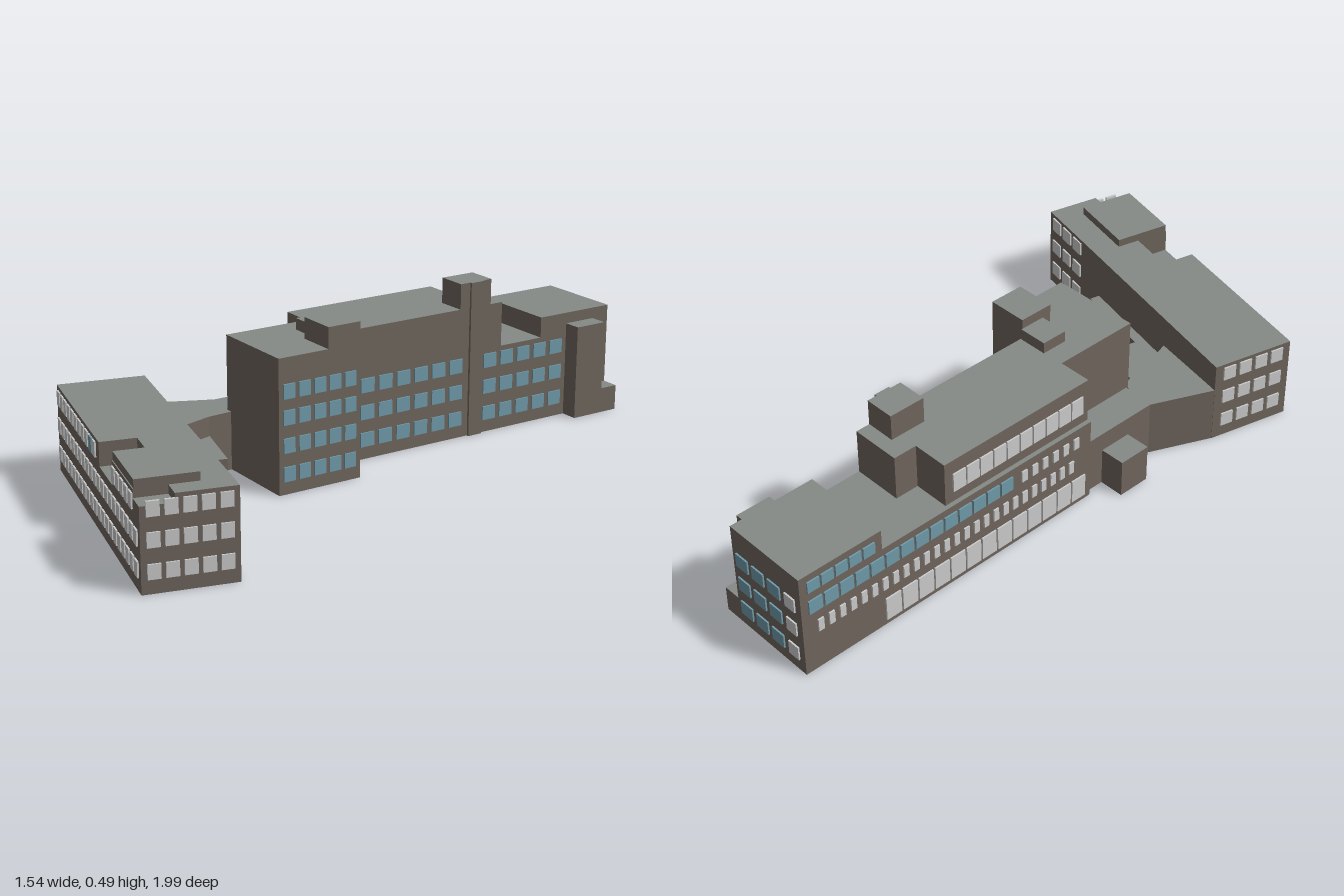
import * as THREE from 'three';
import { mergeGeometries } from 'three/addons/utils/BufferGeometryUtils.js';

const mat = (color) => new THREE.MeshStandardMaterial({ color, flatShading: true });
const wall = mat(0x6e655d), roof = mat(0x858a86), blue = mat(0x6f9aa9), pale = mat(0xc6c9c5);
const boxFaces = [wall, wall, roof, wall, wall, wall];
const ROWS = [0.062, 0.148, 0.232, 0.31];

// A wing's own frame: s runs along its length, t across its width
function makeWing(name, x, z, angle, sign) {
  const group = new THREE.Group();
  group.name = name;
  group.position.set(x, 0, z);
  group.rotation.y = angle;

  const block = (part, s0, s1, t0, t1, y0, y1) => {
    const m = new THREE.Mesh(new THREE.BoxGeometry(s1 - s0, y1 - y0, t1 - t0), boxFaces);
    m.position.set(sign * (s0 + s1) / 2, (y0 + y1) / 2, (t0 + t1) / 2);
    m.name = part;
    group.add(m);
  };

  // Rows of thin panes on a face; 'long' faces run along s, 'end' faces along t
  const windows = (part, face, at, from, to, count, ys, material, h = 0.044, fill = 0.74, skip = () => false) => {
    const pitch = (to - from) / count, panes = [];
    ys.forEach((y, row) => {
      for (let i = 0; i < count; i++) {
        const c = from + (i + 0.5) * pitch;
        if (skip(c, row)) continue;
        const long = face === 'long';
        const g = new THREE.BoxGeometry(long ? pitch * fill : 0.008, h, long ? 0.008 : pitch * fill);
        g.translate(sign * (long ? c : at), y, long ? at : c);
        panes.push(g);
      }
    });
    const m = new THREE.Mesh(mergeGeometries(panes), material);
    m.name = part;
    group.add(m);
  };
  return { group, block, windows };
}

// Flat-roofed outline given as [x, z] corners
function slab(name, pts, h) {
  const shape = new THREE.Shape(pts.map(([x, z]) => new THREE.Vector2(x, -z)));
  const g = new THREE.ExtrudeGeometry(shape, { depth: h, bevelEnabled: false }).rotateX(-Math.PI / 2);
  const m = new THREE.Mesh(g, [roof, wall]);
  m.name = name;
  return m;
}

export function createModel() {
  const model = new THREE.Group();
  model.name = 'buildingComplex';
  const three = ROWS.slice(0, 3);

  // Long wing: s from the far end toward the link, t from back to front
  const a = makeWing('longWing', 0.52, -0.99, Math.atan2(0.728, 0.685), -1);
  a.block('longWingBody', 0, 1.04, 0, 0.283, 0, 0.27);
  a.block('endSection', 0, 0.272, 0, 0.283, 0.27, 0.335);
  a.block('upperStoreyBack', 0.505, 1.04, 0.014, 0.127, 0.27, 0.41);
  a.block('upperStoreyFront', 0.43, 1.04, 0.127, 0.283, 0.27, 0.41);
  a.block('crossBlock', 1.04, 1.317, 0.12, 0.405, 0, 0.41);
  a.block('backStrip', 1.04, 1.31, 0.015, 0.12, 0, 0.18);
  a.block('backPorch', 1.105, 1.21, -0.065, 0.015, 0, 0.12);
  a.block('roofHouse', 1.04, 1.15, 0.28, 0.405, 0.41, 0.475);
  a.block('roofHouseAnnex', 1.036, 1.12, 0.188, 0.28, 0.41, 0.445);
  a.block('stairTowerTop', 0.475, 0.59, 0.19, 0.284, 0.41, 0.49);
  a.block('stairTowerShaft', 0.505, 0.555, 0.27, 0.291, 0, 0.49);
  a.block('endTower', 0.06, 0.169, 0.283, 0.339, 0, 0.3);
  a.block('endEntrance', 0, 0.06, 0.283, 0.339, 0, 0.08);

  a.windows('frontWindows', 'long', 0.284, 0.18, 1.03, 13, three, blue, 0.044, 0.74,
    (c) => Math.abs(c - 0.53) < 0.035);
  a.windows('crossBlockWindows', 'long', 0.406, 1.05, 1.31, 5, ROWS, blue);
  a.windows('endWindows', 'end', -0.001, 0.075, 0.275, 3, three, blue);
  a.windows('endPaleWindows', 'end', -0.001, 0.015, 0.07, 1, three, pale);
  a.windows('groundGlazing', 'long', -0.001, 0.27, 1.02, 13, [0.055], pale, 0.075, 0.9);
  a.windows('secondFloorWindows', 'long', -0.001, 0.04, 0.98, 26, [0.148], pale, 0.04, 0.5);
  a.windows('thirdFloorBand', 'long', -0.001, 0.02, 0.74, 14, [0.225], blue, 0.044, 0.86);
  a.windows('thirdFloorWindows', 'long', -0.001, 0.76, 1.0, 6, [0.225], pale, 0.036, 0.5);
  a.windows('endSectionBand', 'long', -0.001, 0.02, 0.25, 5, [0.295], blue, 0.036, 0.86);
  a.windows('topFloorGlazing', 'long', 0.013, 0.53, 1.02, 10, [0.335], pale, 0.06, 0.9);
  model.add(a.group);

  // Short wing: s from the back end toward the front, t from the courtyard outward
  const b = makeWing('shortWing', -0.55, 0.045, Math.atan2(-0.8415, 0.54), 1);
  const W = 0.263, L = 0.963, H = 0.265;
  b.block('shortWingBody', 0, L, 0, W, 0, 0.195);
  b.block('topFloorBack', 0, 0.53, 0, W, 0.195, H);
  b.block('topFloorCourtyard', 0.53, 0.68, 0, 0.157, 0.195, H);
  b.block('topFloorFront', 0.68, 0.9, 0, W, 0.195, H);
  b.block('frontCorner', 0.9, L, 0, 0.17, 0.195, H);
  b.block('frontCornerLow', 0.9, L, 0.17, W, 0.195, 0.24);
  b.block('penthouse', 0.68, 0.9, 0.085, 0.26, H, 0.29);
  b.block('courtyardLedge', 0.2, 0.655, -0.032, 0, 0, 0.12);

  b.windows('outerWindows', 'long', W + 0.001, 0.01, 0.95, 21, three, pale, 0.044, 0.72,
    (c, row) => row === 2 && ((c > 0.52 && c < 0.69) || c > 0.9));
  b.windows('outerBlueWindow', 'long', W + 0.002, 0.425, 0.465, 1, [ROWS[2]], blue);
  b.windows('frontEndWindows', 'end', L + 0.001, 0.01, W - 0.01, 5, three, pale, 0.042);
  b.windows('backEndWindows', 'end', -0.001, 0.02, W - 0.02, 4, three, pale);
  b.windows('courtyardWindows', 'long', -0.001, 0.76, 0.95, 3, three, pale);
  b.windows('ledgeWindows', 'long', -0.033, 0.42, 0.64, 4, [ROWS[0]], pale, 0.042);
  b.windows('ledgeBlueWindows', 'long', -0.033, 0.37, 0.42, 1, [ROWS[0]], blue, 0.042);
  model.add(b.group);

  // Low link between the wings and its courtyard bay
  model.add(slab('link', [[-0.55, 0.046], [-0.354, -0.035], [-0.28, 0.065], [-0.33, 0.125], [-0.4, 0.26]], 0.18));
  model.add(slab('linkBay', [[-0.45, 0.16], [-0.33, 0.122], [-0.225, 0.297], [-0.31, 0.352], [-0.37, 0.36]], 0.12));
  return model;
}
